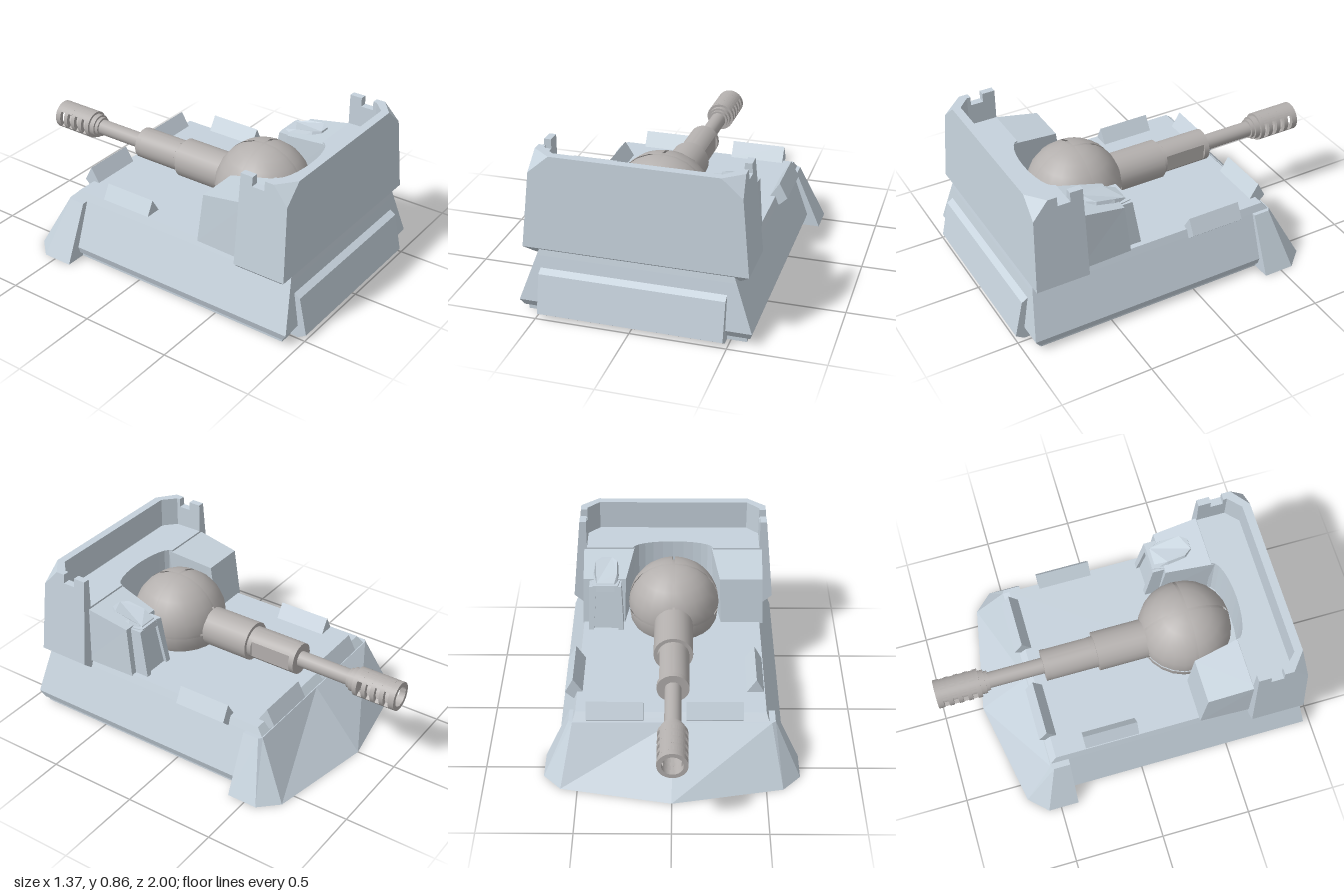
import * as THREE from 'three';
import { toCreasedNormals } from 'three/addons/utils/BufferGeometryUtils.js';

const armour = new THREE.MeshStandardMaterial({ color: 0xc6d2dc, side: THREE.DoubleSide });
const steel = new THREE.MeshStandardMaterial({ color: 0xb4b0ae, side: THREE.DoubleSide });

// Solid through stacked plan outlines. Each ring is { y, p: [[x, z, optional y], ...] }.
function loft(rings) {
  const flat = (r) => r.p.map(([x, z]) => new THREE.Vector2(x, -z));
  const flip = THREE.ShapeUtils.area(flat(rings[0])) < 0;
  const rs = rings.map((r) => ({ y: r.y, p: flip ? [...r.p].reverse() : r.p }));
  const pos = [];
  const put = (r, i) => pos.push(r.p[i][0], r.p[i][2] ?? r.y, r.p[i][1]);
  const n = rs[0].p.length;
  for (let k = 0; k + 1 < rs.length; k++) {
    const a = rs[k], b = rs[k + 1];
    for (let i = 0; i < n; i++) {
      const j = (i + 1) % n;
      put(a, i); put(a, j); put(b, j);
      put(a, i); put(b, j); put(b, i);
    }
  }
  const cap = (r, up) => THREE.ShapeUtils.triangulateShape(flat(r), []).forEach(([a, b, c]) =>
    (up ? [a, b, c] : [a, c, b]).forEach((i) => put(r, i)));
  cap(rs[0], false);
  cap(rs[rs.length - 1], true);
  const g = new THREE.BufferGeometry();
  g.setAttribute('position', new THREE.Float32BufferAttribute(pos, 3));
  g.computeVertexNormals();
  return g;
}

const rect = (x, z0, z1, cx = 0.006) => [[cx - x, z0], [cx + x, z0], [cx + x, z1], [cx - x, z1]];
// Right half outline, mirrored across x = 0 into a closed one
const mirror = (half) => [...half, ...half.map(([x, z]) => [-x, z]).reverse()];
const polygon = (pts) => new THREE.Shape(pts.map(([x, y]) => new THREE.Vector2(x, y)));
const prismZ = (pts, z0, z1) =>
  new THREE.ExtrudeGeometry(polygon(pts), { depth: z1 - z0, bevelEnabled: false }).translate(0, 0, z0);
const prismX = (pts, x0, x1) =>
  new THREE.ExtrudeGeometry(polygon(pts), { depth: x1 - x0, bevelEnabled: false })
    .rotateY(-Math.PI / 2).translate(x1, 0, 0);

export function createModel() {
  const model = new THREE.Group();
  const add = (name, geometry, material = armour, parent = model) => {
    const m = new THREE.Mesh(geometry, material);
    m.name = name;
    parent.add(m);
    return m;
  };

  // Hull with an inset floor and sloping sides
  add('hull', loft([
    { y: 0, p: rect(0.575, -0.5, 0.91) },
    { y: 0.03, p: rect(0.575, -0.5, 0.91) },
    { y: 0.03, p: rect(0.595, -0.5, 0.925) },
    { y: 0.07, p: rect(0.608, -0.5, 0.95) },
    { y: 0.32, p: rect(0.518, -0.5, 0.912) },
    { y: 0.36, p: rect(0.503, -0.465, 0.905) },
  ]));
  add('frontPlate', prismX([[0.9, 0], [0.955, 0], [1, 0.03], [0.955, 0.235], [0.915, 0.26], [0.88, 0.26]], -0.49, 0.48));
  add('rearPlough', loft([
    { y: 0, p: [[0, -0.78], ...mirror([[0.59, -0.67], [0.685, -0.57], [0.685, -0.4]])] },
    { y: 0.32, p: [[0, -0.505], ...mirror([[0.525, -0.505], [0.545, -0.49], [0.545, -0.4]])] },
  ]));

  // Deflector rails around the deck
  const rail = (c, s) => [[c - 0.05 * s, 0.36], [c, 0.44], [c + 0.045 * s, 0.355], [c, 0.312]];
  add('leftRail', prismZ(rail(0.53, 1), -0.295, 0.005));
  add('rightRail', prismZ(rail(-0.45, -1), -0.295, 0.005));
  for (const x of [-0.375, 0.15]) add('rearRail', prismX(rail(-0.48, -1), x, x + 0.3));

  // Bulkhead: flared foot, body with a hollow for the ball, and a U-shaped parapet
  const outerX = (y) => 0.585 - (y - 0.36) * 0.1;
  const outerZ = (y) => 0.915 - (y - 0.36) * 0.05;
  const hollow = (zBack) => {
    const pts = [];
    for (let i = 0; i <= 6; i++) {
      const t = (i / 6) * Math.PI / 2;
      pts.push([0.23 * Math.cos(t), zBack + 0.07 * Math.sin(t)]);
    }
    return pts.reverse();
  };
  const body = (y, x, z) => ({ y, p: mirror([...hollow(0.62), [x, 0.62], [x, z]]) });
  add('bulkhead', loft([
    body(0.315, 0.535, 0.87),
    body(0.36, outerX(0.36), outerZ(0.36)),
    body(0.69, outerX(0.69), outerZ(0.69)),
  ]));
  const parapet = (y, zBack) => {
    const c = THREE.MathUtils.clamp((y - 0.765) / 0.095, 0, 1);
    const x = outerX(y), z = outerZ(y);
    return { y, p: mirror([[0.43, 0.845], [0.498, 0.78], [0.498, zBack], [x, zBack],
      [x, z - 0.08 * c], [x - 0.1 * c, z]]) };
  };
  add('parapet', loft([parapet(0.685, 0.62), parapet(0.765, 0.62), parapet(0.81, 0.62)]));
  add('parapetTop', loft([parapet(0.81, 0.76), parapet(0.86, 0.76)]));
  for (const s of [-1, 1]) {
    const post = (y) => ({ y, p: [[0.498, 0.62], [outerX(y), 0.62], [outerX(y), 0.69], [0.498, 0.69]].map(([x, z]) => [s * x, z]) });
    add('parapetPost', loft([post(0.81), post(0.86)]));

    // Shoulder blocks either side of the ball
    const pts = (list) => list.map(([x, z, y]) => [s * x, z, y]);
    add('shoulder', loft([
      { y: 0.355, p: pts([[0.515, 0.345], [0.275, 0.345], [0.23, 0.65], [0.525, 0.65]]) },
      { y: 0.63, p: pts([[0.505, 0.375, 0.635], [0.265, 0.375, 0.635], [0.22, 0.65, 0.685], [0.515, 0.65, 0.685]]) },
    ]));
  }

  // Sight housing on the left shoulder, with raised frame posts and a domed hood
  add('sightHousing', loft([
    { y: 0.355, p: [[0.3, 0.285], [0.46, 0.285], [0.485, 0.4], [0.275, 0.4]] },
    { y: 0.6, p: [[0.32, 0.325], [0.44, 0.325], [0.47, 0.4], [0.285, 0.4]] },
  ]));
  for (const s of [-1, 1]) {
    const q = (x0, x1, z0, z1) => [[x0, z0], [x1, z0], [x1, z1], [x0, z1]].map(([x, z]) => [0.38 + s * x, z]);
    add('sightFrame', loft([{ y: 0.355, p: q(0.07, 0.1, 0.265, 0.37) }, { y: 0.625, p: q(0.05, 0.09, 0.31, 0.4) }]));
  }
  add('sightBrow', loft([
    { y: 0.595, p: [[0.3, 0.305], [0.46, 0.305], [0.47, 0.42], [0.285, 0.42]] },
    { y: 0.63, p: [[0.31, 0.312], [0.45, 0.312], [0.468, 0.42], [0.29, 0.42]] },
  ]));
  add('sightHood', loft([
    { y: 0.6, p: [[0.31, 0.312], [0.45, 0.312], [0.47, 0.4], [0.465, 0.51], [0.42, 0.56], [0.34, 0.56], [0.295, 0.51], [0.29, 0.4]] },
    { y: 0.66, p: [[0.33, 0.33, 0.635], [0.43, 0.33, 0.635], [0.445, 0.4, 0.66], [0.44, 0.5, 0.675],
      [0.41, 0.54, 0.675], [0.35, 0.54, 0.675], [0.32, 0.5, 0.675], [0.315, 0.4, 0.66]] },
  ]));

  // Ball mount: eight shell pieces parted by even grooves over a core
  const ball = new THREE.Group();
  ball.name = 'ballMount';
  ball.position.set(-0.005, 0.46, 0.405);
  model.add(ball);
  add('ballCore', new THREE.SphereGeometry(0.243, 24, 16), steel, ball);
  for (let k = 0; k < 4; k++) {
    for (const up of [1, -1]) {
      const piece = new THREE.SphereGeometry(0.25, 6, 6, k * Math.PI / 2, Math.PI / 2, up > 0 ? 0 : Math.PI / 2, Math.PI / 2);
      const m = add('ballShell', piece, steel, ball);
      m.position.set(k === 0 || k === 3 ? -0.007 : 0.007, up * 0.007, k < 2 ? 0.007 : -0.007);
    }
  }

  // Gun, built along z
  const gun = new THREE.Group();
  gun.name = 'gun';
  gun.position.set(-0.005, 0.463, 0);
  model.add(gun);
  const tube = (name, r, z0, z1) =>
    add(name, new THREE.CylinderGeometry(r, r, z0 - z1, 24).rotateX(Math.PI / 2).translate(0, 0, (z0 + z1) / 2), steel, gun);
  tube('gunSleeve', 0.108, 0.22, -0.105);
  tube('recoilSleeveRear', 0.087, -0.1, -0.13);
  tube('recoilSleeveFront', 0.087, -0.37, -0.4);
  tube('barrel', 0.044, -0.39, -0.77);
  tube('muzzleCollar', 0.055, -0.705, -0.735);
  tube('muzzleCollar', 0.066, -0.725, -0.765);

  // Recoil sleeve with a flat cut along its left side
  const cut = new THREE.Shape();
  cut.absarc(0, 0, 0.087, 0.56, Math.PI * 2 - 0.56, false);
  const along = (shape, z0, z1) => toCreasedNormals(new THREE.ExtrudeGeometry(shape,
    { depth: z0 - z1, bevelEnabled: false, curveSegments: 20 }).translate(0, 0, z1), 0.5);
  add('recoilSleeve', along(cut, -0.13, -0.37), steel, gun);

  // Slotted muzzle brake: full rings alternating with open sections
  const R = 0.079, r = 0.056;
  const ring = new THREE.Shape().absarc(0, 0, R, 0, Math.PI * 2, false);
  ring.holes.push(new THREE.Path().absarc(0, 0, r, 0, Math.PI * 2, true));
  const sector = (mid) => new THREE.Shape()
    .absarc(0, 0, R, mid - 0.95, mid + 0.95, false)
    .absarc(0, 0, r, mid + 0.95, mid - 0.95, true);
  let z = -0.755;
  for (let i = 0; i < 5; i++) {
    const end = i === 4 ? -1 : z - 0.025;
    add('muzzleRing', along(ring, z, end), steel, gun);
    if (i < 4) for (const a of [Math.PI / 2, -Math.PI / 2]) add('muzzleBridge', along(sector(a), end, end - 0.028), steel, gun);
    z = end - 0.028;
  }
  return model;
}
